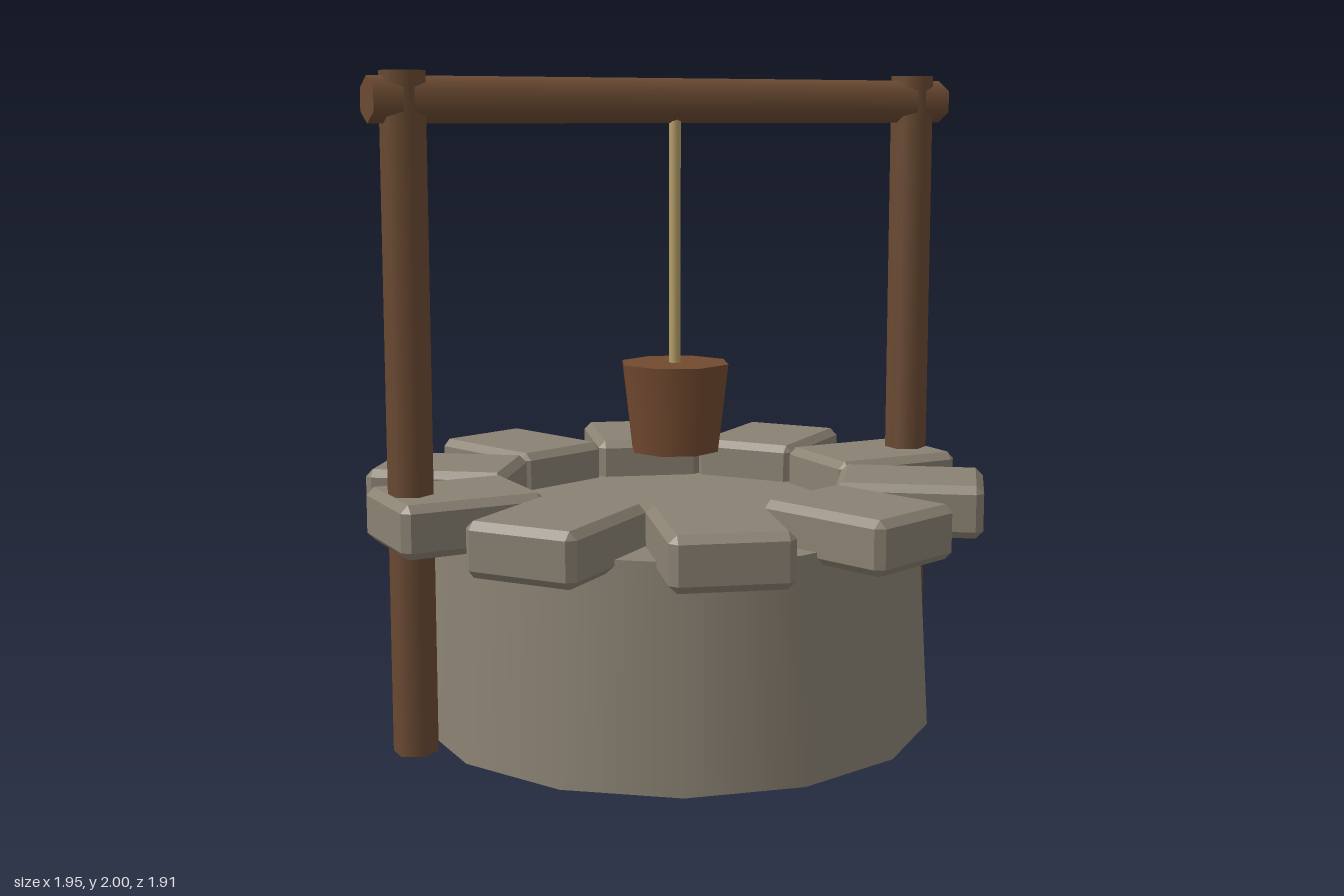
import * as THREE from 'three';
import { ConvexGeometry } from 'three/addons/geometries/ConvexGeometry.js';

const material = (name, color) => {
  const m = new THREE.MeshStandardMaterial({ color });
  m.name = name;
  return m;
};

// Box with every edge cut at 45 degrees
function chamferedBox(w, h, d, c) {
  const points = [];
  for (const sx of [-1, 1]) for (const sy of [-1, 1]) for (const sz of [-1, 1]) {
    const x = w / 2, y = h / 2, z = d / 2;
    points.push(
      new THREE.Vector3(sx * x, sy * (y - c), sz * (z - c)),
      new THREE.Vector3(sx * (x - c), sy * y, sz * (z - c)),
      new THREE.Vector3(sx * (x - c), sy * (y - c), sz * z)
    );
  }
  return new ConvexGeometry(points);
}

export function createModel() {
  const well = new THREE.Group();
  well.name = 'well';
  const stone = material('stone', 0x8a8172);
  const wood = material('wood', 0x6b4a32);
  const bucketWood = material('bucketWood', 0x734a30);
  const ropeFibre = material('rope', 0xb8a06a);

  const add = (name, geometry, mat, x, y, z, parent = well) => {
    const mesh = new THREE.Mesh(geometry, mat);
    mesh.name = name;
    mesh.position.set(x, y, z);
    parent.add(mesh);
    return mesh;
  };

  // Tapered drum
  add('drum', new THREE.CylinderGeometry(0.762, 0.8, 0.66, 14), stone, 0, 0.33, 0);

  // Ring of rim stones
  const rim = new THREE.Group();
  rim.name = 'rimStones';
  well.add(rim);
  const block = chamferedBox(0.445, 0.16, 0.348, 0.023);
  for (let i = 0; i < 10; i++) {
    const a = (i / 10) * Math.PI * 2;
    const r = 0.733;
    add('rimStone', block, stone, r * Math.cos(a), 0.7, -r * Math.sin(a), rim).rotation.y = a;
  }

  // Hexagonal posts
  const post = new THREE.CylinderGeometry(0.0675, 0.0675, 2, 6);
  add('leftPost', post, wood, 0.87, 1, 0);
  add('rightPost', post, wood, -0.87, 1, 0);

  // Crossbeam, with a corner of its hexagon pointing up
  const beam = new THREE.CylinderGeometry(0.0675, 0.0675, 1.95, 6, 1, false, Math.PI / 2);
  beam.rotateZ(Math.PI / 2);
  add('crossbeam', beam, wood, 0, 1.918, 0);

  // Rope and bucket
  add('rope', new THREE.CylinderGeometry(0.018, 0.018, 0.84, 6), ropeFibre, 0, 1.48, 0);
  add('bucket', new THREE.CylinderGeometry(0.173, 0.14, 0.275, 8), bucketWood, 0, 0.978, 0);

  return well;
}
